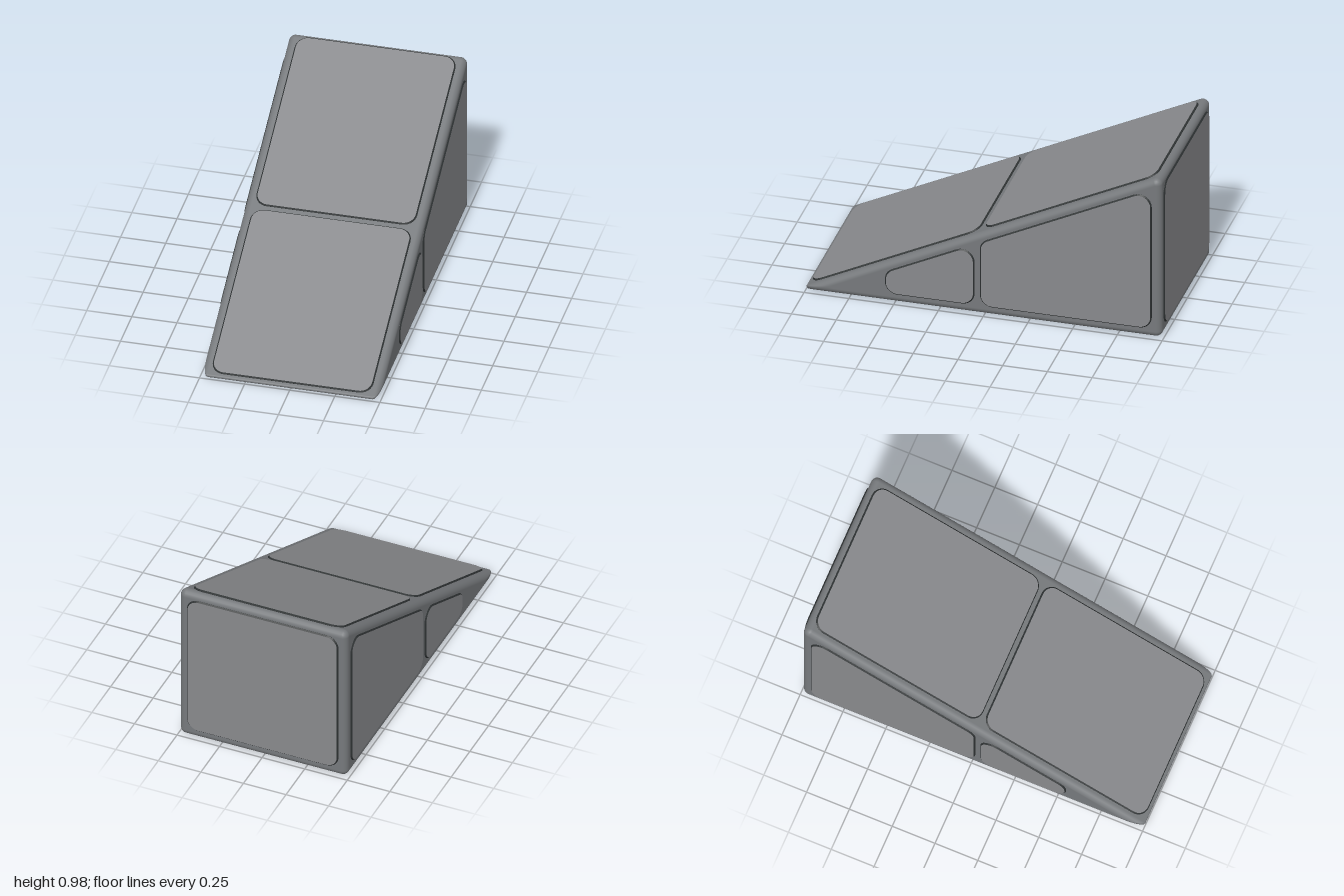
import * as THREE from 'three';

const SLOPE = Math.atan(0.486), S = Math.sin(SLOPE), C = Math.cos(SLOPE);
const HALF = 0.492, BASE = 0.008, BACK = -0.992, TIP = 1.032, R = 0.035, TIP_R = 0.01;

// Solid wedge with filleted edges, built from rounded triangular cross-sections along x
function wedgeGeometry() {
  const N = 6, pos = [], nor = [], idx = [];
  const corners = [[-Math.PI / 2, Math.PI / 2 - SLOPE], [Math.PI / 2 - SLOPE, Math.PI], [Math.PI, Math.PI * 1.5]];
  const cols = 3 * (N + 1);
  const rows = [];
  for (let i = 0; i <= N; i++) rows.push([-1, (i / N - 1) * Math.PI / 2]);
  for (let i = 0; i <= N; i++) rows.push([1, (i / N) * Math.PI / 2]);
  for (const [side, phi] of rows) {
    const x = side * (HALF - R) + R * Math.sin(phi);
    const inset = R * (1 - Math.cos(phi));
    corners.forEach(([a0, a1], k) => {
      const r = k === 0 ? TIP_R : R * Math.cos(phi);
      const e = inset + r;
      const line = TIP * S + BASE * C - e; // slope line: z*S + y*C = line
      let z = BACK + e, y = BASE + e;
      if (k === 0) z = (line - y * C) / S;
      if (k === 1) y = (line - z * S) / C;
      for (let j = 0; j <= N; j++) {
        const a = a0 + (a1 - a0) * j / N;
        pos.push(x, y + r * Math.sin(a), z + r * Math.cos(a));
        nor.push(Math.sin(phi), Math.cos(phi) * Math.sin(a), Math.cos(phi) * Math.cos(a));
      }
    });
  }
  for (let i = 0; i < rows.length - 1; i++) {
    for (let j = 0; j < cols; j++) {
      const a = i * cols + j, b = i * cols + (j + 1) % cols;
      idx.push(a, a + cols, b, b, a + cols, b + cols);
    }
  }
  // flat end faces
  const last = (rows.length - 1) * cols;
  for (let j = 1; j < cols - 1; j++) {
    idx.push(0, j, j + 1);
    idx.push(last, last + j + 1, last + j);
  }
  const g = new THREE.BufferGeometry();
  g.setAttribute('position', new THREE.Float32BufferAttribute(pos, 3));
  g.setAttribute('normal', new THREE.Float32BufferAttribute(nor, 3));
  g.setIndex(idx);
  return g;
}

// Polygon with circular corners
function roundedShape(points, r) {
  const shape = new THREE.Shape();
  const p = points.map(([x, y]) => new THREE.Vector2(x, y));
  p.forEach((c, i) => {
    const u = p[(i + p.length - 1) % p.length].clone().sub(c).normalize();
    const v = p[(i + 1) % p.length].clone().sub(c).normalize();
    const turn = Math.PI - Math.acos(u.dot(v));
    const t = r * Math.tan(turn / 2), h = t - r * 4 / 3 * Math.tan(turn / 4);
    const at = (d, s) => c.clone().addScaledVector(d, s);
    const a = at(u, t), b = at(v, t), ha = at(u, h), hb = at(v, h);
    if (i === 0) shape.moveTo(a.x, a.y); else shape.lineTo(a.x, a.y);
    shape.bezierCurveTo(ha.x, ha.y, hb.x, hb.y, b.x, b.y);
  });
  shape.closePath();
  return shape;
}

const rect = (x0, x1, y0, y1) => [[x0, y0], [x1, y0], [x1, y1], [x0, y1]];

export function createModel() {
  const group = new THREE.Group();
  group.name = 'wedgeRamp';
  const frameMat = new THREE.MeshStandardMaterial({ color: 0x76797c });
  frameMat.name = 'frame grey';
  const panelMat = new THREE.MeshStandardMaterial({ color: 0x88898c });
  panelMat.name = 'panel grey';
  const rimMat = new THREE.MeshStandardMaterial({ color: 0x2e3233 });
  rimMat.name = 'dark rim';

  const body = new THREE.Mesh(wedgeGeometry(), frameMat);
  body.name = 'wedgeBody';
  group.add(body);

  // Raised panel with a dark chamfered rim, laid on the plane spanned by u and v
  function addPanel(name, points, origin, u, v, r = 0.07) {
    const g = new THREE.ExtrudeGeometry(roundedShape(points, r), {
      depth: 0.002, bevelThickness: 0.007, bevelSize: 0.007, bevelOffset: -0.007,
      bevelSegments: 1, curveSegments: 8,
    });
    g.translate(0, 0, -0.001);
    const U = new THREE.Vector3(...u), V = new THREE.Vector3(...v);
    const m = new THREE.Matrix4().makeBasis(U, V, U.clone().cross(V));
    g.applyMatrix4(m.setPosition(...origin));
    const mesh = new THREE.Mesh(g, [panelMat, rimMat]);
    mesh.name = name;
    group.add(mesh);
  }

  // Ramp surface
  const along = z => (TIP - z) / C;
  for (const [name, z0, z1] of [['upperRampPanel', 0.016, -0.953], ['lowerRampPanel', 0.982, 0.038]]) {
    addPanel(name, rect(-0.445, 0.445, along(z0), along(z1)), [0, BASE, TIP], [1, 0, 0], [0, S, -C]);
  }

  // Underside
  for (const [name, z0, z1] of [['rearBottomPanel', -0.94, 0.02], ['frontBottomPanel', 0.05, 0.98]]) {
    addPanel(name, rect(-0.445, 0.445, z0, z1), [0, BASE, 0], [1, 0, 0], [0, 0, 1]);
  }

  // Back
  addPanel('backPanel', rect(-0.445, 0.445, 0.06, 0.935), [0, 0, BACK], [-1, 0, 0], [0, 1, 0]);

  // Sides: trapezoids following the slope
  const top = z => 0.46 - 0.486 * z;
  for (const s of [1, -1]) {
    const label = s > 0 ? 'left' : 'right';
    for (const [name, z0, z1] of [['RearSidePanel', -0.94, 0.02], ['FrontSidePanel', 0.05, 0.55]]) {
      const pts = [[z0, 0.06], [z1, 0.06], [z1, top(z1)], [z0, top(z0)]].map(([z, y]) => [-s * z, y]);
      addPanel(label + name, pts, [s * HALF, 0, 0], [0, 0, -s], [0, 1, 0]);
    }
  }
  return group;
}
